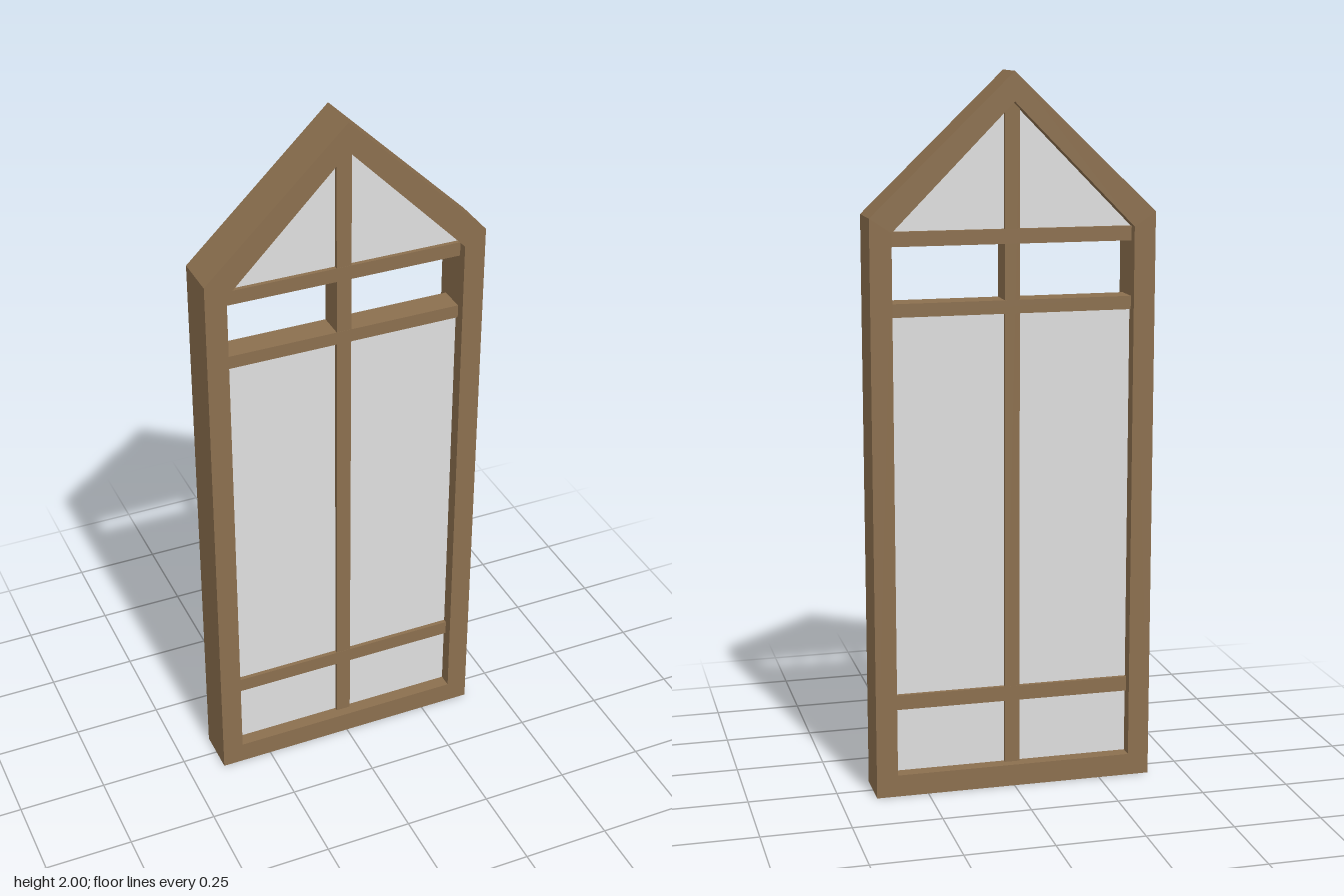
import * as THREE from 'three';

const HALF = 0.397, INNER = 0.337, SHOULDER = 1.62; // outer and inner half widths, side height
const FRAME_DEPTH = 0.13, BAR_DEPTH = 0.076, GLASS_DEPTH = 0.052;

const wood = new THREE.MeshStandardMaterial({ color: 0x8b6f4e });
wood.name = 'wood';
const glass = new THREE.MeshStandardMaterial({ color: 0xdedede });
glass.name = 'paleGlass';

const points = (list) => list.map(([x, y]) => new THREE.Vector2(x, y));

// Gabled outline, from the bottom left round to the shoulders and peak
const gable = (w, bottom, shoulder, peak) =>
  points([[-w, bottom], [w, bottom], [w, shoulder], [0, peak], [-w, shoulder]]);

// Extrusion centred on z = 0
function slab(name, shape, depth, material) {
  const geometry = new THREE.ExtrudeGeometry(shape, { depth, bevelEnabled: false });
  geometry.translate(0, 0, -depth / 2);
  const mesh = new THREE.Mesh(geometry, material);
  mesh.name = name;
  return mesh;
}

// Box given by its edges in the front plane
function block(name, x0, x1, y0, y1, depth, material) {
  const mesh = new THREE.Mesh(new THREE.BoxGeometry(x1 - x0, y1 - y0, depth), material);
  mesh.position.set((x0 + x1) / 2, (y0 + y1) / 2, 0);
  mesh.name = name;
  return mesh;
}

export function createModel() {
  const model = new THREE.Group();
  model.name = 'gabledWindow';

  // Outer frame with a gabled opening
  const outline = new THREE.Shape(gable(HALF, 0, SHOULDER, 2));
  outline.holes.push(new THREE.Path(gable(INNER, 0.062, 1.58, 1.92).reverse()));
  model.add(slab('frame', outline, FRAME_DEPTH, wood));

  // Crossbars and central mullion, set back from the frame faces
  const bars = [['lowerCrossbar', 0.245, 0.287], ['middleCrossbar', 1.35, 1.387], ['upperCrossbar', 1.54, 1.58]];
  for (const [name, y0, y1] of bars) {
    model.add(block(name, -INNER, INNER, y0, y1, BAR_DEPTH, wood));
  }
  model.add(block('mullion', -0.021, 0.021, 0.062, 1.92, BAR_DEPTH - 0.001, wood));

  // Panes on both sides; the bay between the upper crossbars stays open
  for (const [side, s] of [['left', 1], ['right', -1]]) {
    const [x0, x1] = s > 0 ? [0.021, INNER] : [-INNER, -0.021];
    model.add(block(side + 'LowerPane', x0, x1, 0.062, 0.245, GLASS_DEPTH, glass));
    model.add(block(side + 'MainPane', x0, x1, 0.287, 1.35, GLASS_DEPTH, glass));
    const corner = points([[0.021 * s, 1.58], [INNER * s, 1.58], [0.021 * s, 1.9]]);
    model.add(slab(side + 'GablePane', new THREE.Shape(corner), GLASS_DEPTH, glass));
  }

  return model;
}
